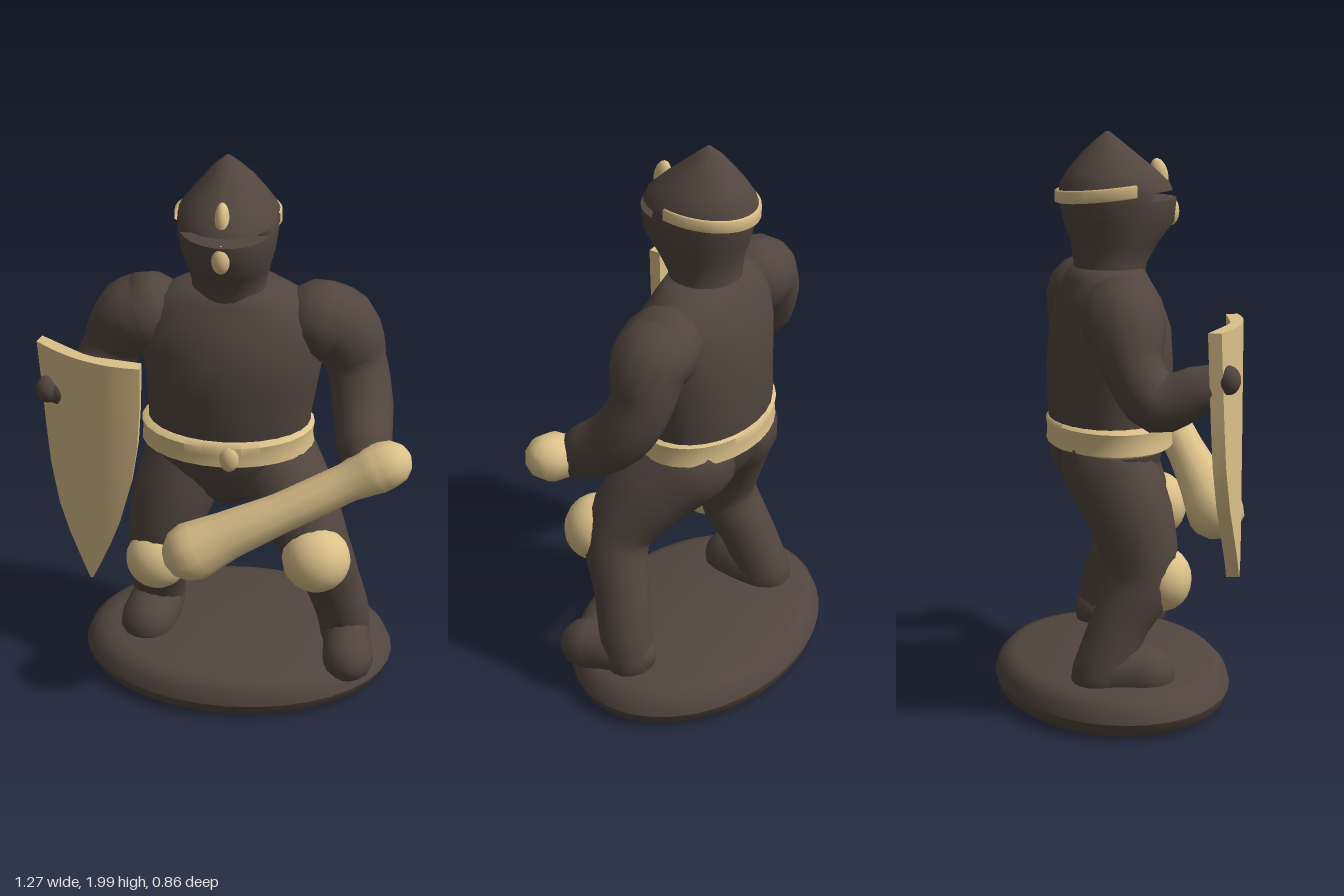
import * as THREE from 'three';
import { toCreasedNormals } from 'three/addons/utils/BufferGeometryUtils.js';

const V = (x, y, z) => new THREE.Vector3(x, y, z);

// Skin a stack of closed rings (counterclockwise, bottom to top) and cap both ends.
function loft(rings, crease = 1.0) {
  const n = rings[0].length, pos = [], idx = [];
  rings.forEach(r => r.forEach(p => pos.push(p.x, p.y, p.z)));
  for (let i = 0; i < rings.length - 1; i++) {
    for (let j = 0; j < n; j++) {
      const k = (j + 1) % n, a = i * n + j, b = i * n + k;
      idx.push(a, b, b + n, a, b + n, a + n);
    }
  }
  const last = (rings.length - 1) * n;
  [rings[0], rings[rings.length - 1]].forEach((r, end) => {
    const c = r.reduce((s, p) => s.add(p), V(0, 0, 0)).divideScalar(n);
    const ci = pos.length / 3;
    pos.push(c.x, c.y, c.z);
    for (let j = 0; j < n; j++) {
      const k = (j + 1) % n;
      if (end) idx.push(ci, last + j, last + k);
      else idx.push(ci, k, j);
    }
  });
  const g = new THREE.BufferGeometry();
  g.setAttribute('position', new THREE.Float32BufferAttribute(pos, 3));
  g.setIndex(idx);
  return toCreasedNormals(g, crease);
}

// Horizontal oval ring; maxZ flattens its front.
function oval([y, cx, cz, rx, rz, maxZ = 9], n = 28) {
  return Array.from({ length: n }, (_, j) => {
    const a = j / n * Math.PI * 2;
    return V(cx + rx * Math.sin(a), y, Math.min(maxZ, cz + rz * Math.cos(a)));
  });
}

// Round limb along [x, y, z, radius] stations, with domed ends.
function limb(stations, sides = 14) {
  const curve = new THREE.CatmullRomCurve3(stations.map(s => V(s[0], s[1], s[2])));
  const spans = stations.length - 1, steps = spans * 4, rings = [];
  let normal = V(0.3, 0.2, 0.9);
  const addRing = (t, phi) => {
    const f = t * spans, i = Math.min(Math.floor(f), spans - 1);
    const r = THREE.MathUtils.lerp(stations[i][3], stations[i + 1][3], f - i);
    const tan = curve.getTangent(t);
    normal = normal.clone().addScaledVector(tan, -normal.dot(tan)).normalize();
    const bin = tan.clone().cross(normal);
    const c = curve.getPoint(t).addScaledVector(tan, r * Math.sin(phi));
    rings.push(Array.from({ length: sides }, (_, j) => {
      const a = j / sides * Math.PI * 2;
      return c.clone().addScaledVector(normal, r * Math.cos(phi) * Math.cos(a))
        .addScaledVector(bin, r * Math.cos(phi) * Math.sin(a));
    }));
  };
  for (const p of [-1.4, -1, -0.5]) addRing(0, p);
  for (let i = 0; i <= steps; i++) addRing(i / steps, 0);
  for (const p of [0.5, 1, 1.4]) addRing(1, p);
  return loft(rings, 1.3);
}

export function createModel() {
  const model = new THREE.Group();
  const dark = new THREE.MeshStandardMaterial({ color: 0x52463f });
  dark.name = 'dark brown';
  const gold = new THREE.MeshStandardMaterial({ color: 0xdcc18a });
  gold.name = 'pale gold';
  const add = (name, geo, mat) => {
    const m = new THREE.Mesh(geo, mat);
    m.name = name;
    model.add(m);
    return m;
  };
  const ball = (name, mat, [x, y, z], [sx, sy, sz]) => {
    const m = add(name, new THREE.SphereGeometry(1, 18, 12), mat);
    m.position.set(x, y, z);
    m.scale.set(sx, sy, sz);
    return m;
  };

  // Oval stand with a rounded rim
  const rim = [[0, 0.01], [0.9, 0.01], [0.97, 0.03], [1, 0.07], [0.97, 0.11], [0.9, 0.14], [0.82, 0.15], [0, 0.155]];
  const base = add('base', toCreasedNormals(
    new THREE.LatheGeometry(rim.map(p => new THREE.Vector2(p[0], p[1])), 36), 0.9), dark);
  base.scale.set(0.565, 1, 0.41);
  base.position.set(0.025, 0, -0.02);

  // Torso and hips
  add('torso', loft([
    [0.70, -0.01, -0.03, 0.07, 0.07], [0.76, -0.01, -0.03, 0.18, 0.12],
    [0.85, -0.01, -0.04, 0.265, 0.17], [0.95, -0.015, -0.04, 0.285, 0.195],
    [1.05, -0.01, -0.04, 0.285, 0.205], [1.2, 0, -0.03, 0.30, 0.215],
    [1.33, 0, -0.03, 0.32, 0.205], [1.43, 0, -0.035, 0.31, 0.175],
    [1.50, 0, -0.04, 0.25, 0.14], [1.54, 0, -0.04, 0.17, 0.12],
  ].map(r => oval(r)), 1.2), dark);

  // Belt
  add('belt', loft([
    [0.925, -0.015, -0.035, 0.285, 0.20], [0.935, -0.015, -0.035, 0.303, 0.215],
    [0.975, -0.015, -0.035, 0.298, 0.212], [1.01, -0.015, -0.035, 0.303, 0.217],
    [1.025, -0.015, -0.035, 0.28, 0.20],
  ].map(r => oval(r))), gold);
  ball('buckle', gold, [0.01, 0.965, 0.17], [0.035, 0.05, 0.025]);

  // Helmet with a slit cut through the visor
  const hx = -0.01;
  add('helmet', loft([
    [1.48, hx, -0.04, 0.14, 0.125], [1.55, hx, -0.03, 0.125, 0.125],
    [1.62, hx, -0.015, 0.14, 0.15], [1.69, hx, 0, 0.158, 0.19],
    [1.765, hx, -0.005, 0.168, 0.203], [1.772, hx, -0.005, 0.168, 0.203],
    [1.774, hx, -0.005, 0.168, 0.203, 0.09], [1.798, hx, -0.01, 0.17, 0.198, 0.09],
    [1.80, hx, -0.01, 0.17, 0.195], [1.825, hx, -0.015, 0.165, 0.188],
    [1.87, hx, -0.025, 0.13, 0.15], [1.92, hx, -0.035, 0.088, 0.098],
    [1.965, hx - 0.005, -0.04, 0.045, 0.048], [1.998, hx - 0.005, -0.04, 0.006, 0.006],
  ].map(r => oval(r)), 0.9), dark);

  // Headband around the back of the helmet, dipping at the rear
  const bandPts = [[0.175, 0], [0.183, 0.004], [0.183, 0.04], [0.175, 0.044]];
  const band = new THREE.LatheGeometry(bandPts.map(p => new THREE.Vector2(p[0], p[1])),
    24, Math.PI * 0.45, Math.PI * 1.1);
  const bp = band.attributes.position;
  for (let i = 0; i < bp.count; i++) {
    const z = bp.getZ(i);
    bp.setXYZ(i, bp.getX(i) * 0.97 + hx, bp.getY(i) + 1.782 + z * 0.13, z * 1.16 - 0.008);
  }
  band.computeVertexNormals();
  const bandMat = gold.clone();
  bandMat.name = 'pale gold band';
  bandMat.side = THREE.DoubleSide;
  add('headband', band, bandMat);

  // Nose guard and crest
  ball('noseGuard', gold, [-0.015, 1.723, 0.18], [0.032, 0.05, 0.03]);
  ball('crest', gold, [-0.015, 1.85, 0.14], [0.024, 0.055, 0.03]).rotation.x = -0.25;

  // Legs and feet
  add('leftLeg', limb([[0.13, 0.88, -0.06, 0.16], [0.23, 0.75, 0.06, 0.15],
    [0.315, 0.6, 0.13, 0.12], [0.37, 0.43, 0.08, 0.1], [0.41, 0.27, 0.04, 0.095], [0.42, 0.17, 0.02, 0.09]]), dark);
  add('leftFoot', limb([[0.41, 0.19, 0.01, 0.085], [0.43, 0.185, 0.1, 0.085], [0.44, 0.175, 0.19, 0.092]]), dark);
  add('rightLeg', limb([[-0.14, 0.88, -0.07, 0.16], [-0.21, 0.7, 0, 0.145],
    [-0.255, 0.5, 0.03, 0.115], [-0.27, 0.35, -0.05, 0.1], [-0.285, 0.17, -0.13, 0.095]]), dark);
  add('rightFoot', limb([[-0.28, 0.18, -0.12, 0.095], [-0.29, 0.18, -0.04, 0.1], [-0.305, 0.17, 0.03, 0.1]]), dark);

  // Knee pads
  ball('leftKneePad', gold, [0.32, 0.605, 0.215], [0.12, 0.12, 0.11]);
  ball('rightKneePad', gold, [-0.255, 0.49, 0.1], [0.113, 0.112, 0.1]);

  // Arms
  add('leftArm', limb([[0.3, 1.405, -0.05, 0.14], [0.37, 1.38, -0.05, 0.135],
    [0.425, 1.25, -0.05, 0.105], [0.455, 1.12, 0.02, 0.105], [0.47, 1.03, 0.14, 0.095], [0.48, 1.0, 0.19, 0.075]]), dark);
  add('rightArm', limb([[-0.29, 1.405, -0.05, 0.14], [-0.35, 1.38, -0.05, 0.135],
    [-0.43, 1.25, -0.04, 0.1], [-0.48, 1.15, 0.03, 0.1], [-0.53, 1.2, 0.15, 0.08], [-0.55, 1.23, 0.21, 0.06]]), dark);

  // Club
  add('club', limb([[-0.1, 0.68, 0.325, 0.105], [0.02, 0.745, 0.31, 0.085], [0.2, 0.835, 0.29, 0.07],
    [0.42, 0.95, 0.255, 0.068], [0.51, 0.997, 0.24, 0.085], [0.555, 1.02, 0.235, 0.082]], 10), gold);

  // Curved shield, tapering to a point
  const wrap = x => 0.355 - 0.155 * Math.pow(THREE.MathUtils.clamp((-0.26 - x) / 0.37, 0, 1), 2.2);
  const rows = [[0.54, -0.46, -0.45], [0.6, -0.487, -0.423], [0.7, -0.532, -0.38], [0.8, -0.568, -0.343],
    [0.95, -0.597, -0.302], [1.1, -0.61, -0.277], [1.25, -0.62, -0.266], [1.4, -0.632, -0.262]];
  add('shield', loft(rows.map(([y, x0, x1]) => {
    const front = [], back = [];
    for (let i = 0; i <= 12; i++) {
      const x = THREE.MathUtils.lerp(x0, x1, i / 12);
      front.push(V(x, y, wrap(x)));
      back.unshift(V(x + 0.012 * (1 - i / 12), y, wrap(x) - 0.042));
    }
    return front.concat(back);
  }), 0.8), gold);
  ball('shieldBoss', dark, [-0.595, 1.24, 0.235], [0.04, 0.048, 0.04]);

  return model;
}
